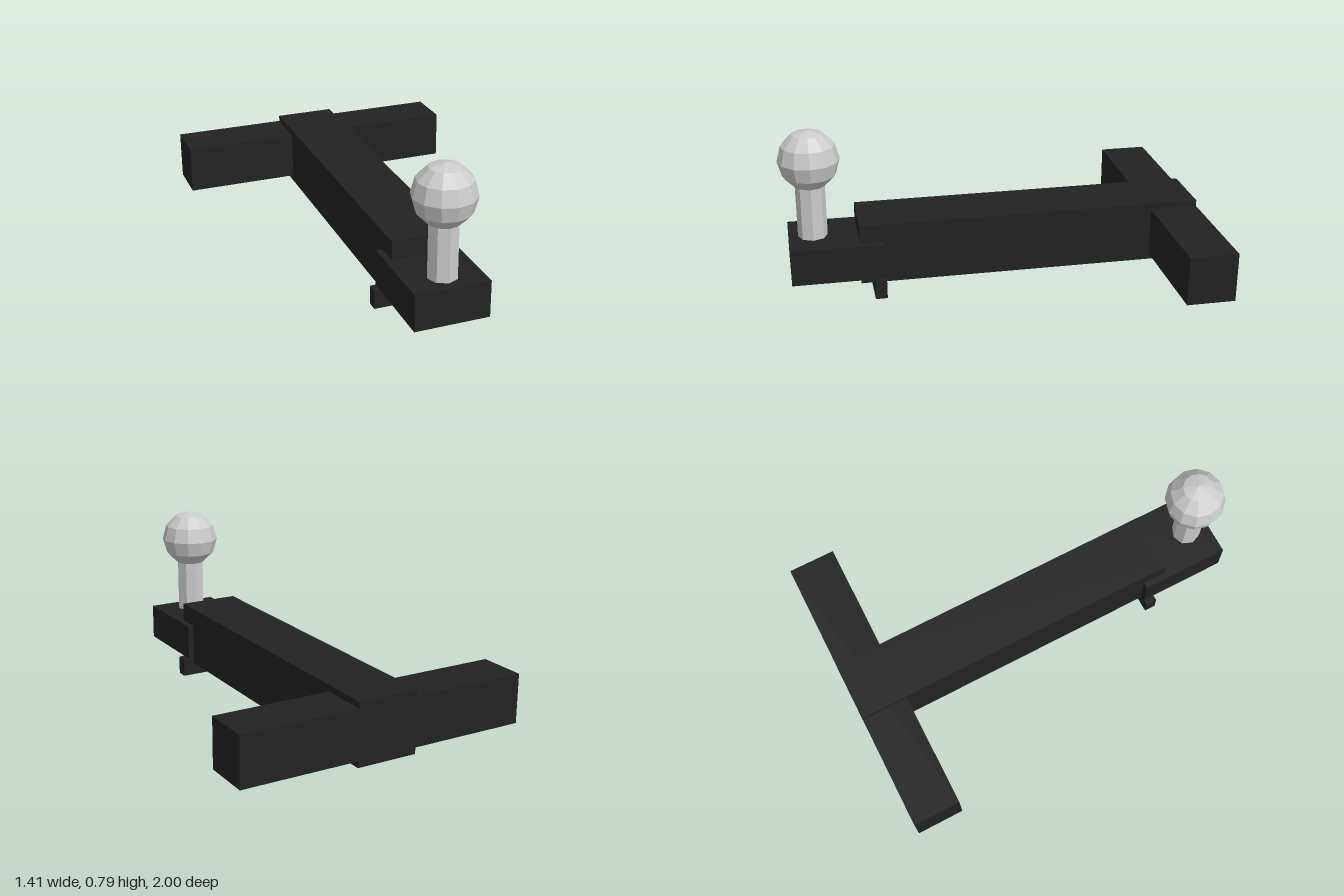
import * as THREE from 'three';

export function createModel() {
  const group = new THREE.Group();
  const dark = new THREE.MeshStandardMaterial({ color: 0x222222, flatShading: true });
  const grey = new THREE.MeshStandardMaterial({ color: 0xcccccc, flatShading: true });

  const add = (name, geometry, material, y, z) => {
    const mesh = new THREE.Mesh(geometry, material);
    mesh.name = name;
    mesh.position.set(0, y, z);
    group.add(mesh);
  };

  // Box centred on x, given its width and its y and z ranges
  const bar = (name, width, y0, y1, z0, z1) =>
    add(name, new THREE.BoxGeometry(width, y1 - y0, z1 - z0), dark, (y0 + y1) / 2, (z0 + z1) / 2);

  // Receiver tube and rear crossbar
  bar('mainBar', 0.294, 0.06, 0.355, -1, 0.645);
  bar('crossBar', 1.41, 0.09, 0.325, -1, -0.77);

  // Ball platform with the wide tab under its inner end
  bar('ballPlatform', 0.354, 0.09, 0.265, 0.53, 0.97);
  bar('lowerTab', 0.41, 0, 0.09, 0.53, 0.586);

  // Stem and ball
  add('ballStem', new THREE.CylinderGeometry(0.07, 0.07, 0.29, 8), grey, 0.385, 0.855);
  add('ball', new THREE.SphereGeometry(0.145, 12, 6), grey, 0.648, 0.855);

  return group;
}
